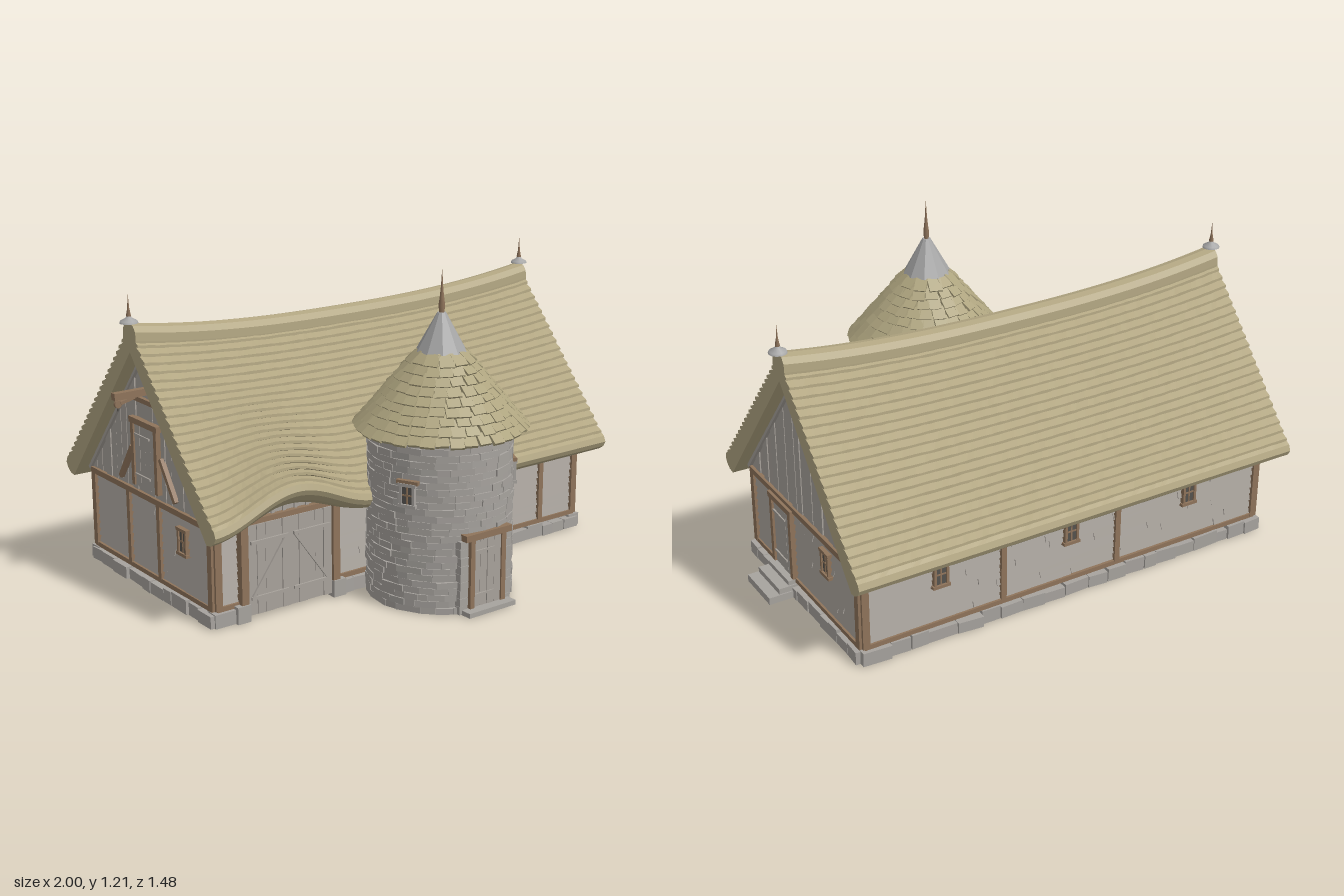
import * as THREE from 'three';
import { mergeGeometries } from 'three/addons/utils/BufferGeometryUtils.js';

const material = (name, color) => Object.assign(new THREE.MeshStandardMaterial({ color }), { name });

export function createModel() {
  const thatch = material('thatch', 0xb2a682), shingle = material('shingle', 0xaea47f);
  const plank = material('greyPlank', 0xa8a29b), stone = material('stone', 0xa7a39e);
  const timber = material('timber', 0x8f745b), metal = material('leadCap', 0xa6a6a6);
  const dark = material('darkGlass', 0x55524e);
  const root = new THREE.Group(), house = new THREE.Group();
  root.name = 'cottageWithTower';
  house.name = 'cottage';
  house.position.x = 0.006;
  root.add(house);

  let seed = 7;
  const rnd = () => (seed = (seed * 16807) % 2147483647) / 2147483647;
  const jit = a => (rnd() - 0.5) * 2 * a;
  const mesh = (parent, name, geo, mat) => {
    const m = new THREE.Mesh(geo, mat);
    m.name = name;
    parent.add(m);
    return m;
  };
  const box = (parent, name, mat, w, h, d, x, y, z, rz = 0) => {
    const m = mesh(parent, name, new THREE.BoxGeometry(w, h, d), mat);
    m.position.set(x, y, z);
    m.rotation.z = rz;
    return m;
  };

  // Skin a closed loop of points swept along x; the loop runs front, over the top, to the back
  const loft = (sections) => {
    const pos = [], n = sections[0].length, last = sections.length - 1;
    const tri = (...p) => p.forEach(v => pos.push(v.x, v.y, v.z));
    for (let i = 0; i < last; i++) for (let j = 0; j < n; j++) {
      const k = (j + 1) % n, a = sections[i], b = sections[i + 1];
      tri(a[j], b[j], b[k]);
      tri(a[j], b[k], a[k]);
    }
    for (const [s, dir] of [[sections[0], -1], [sections[last], 1]]) {
      const flat = s.map(p => new THREE.Vector2(-p.z, p.y));
      for (const [a, b, c] of THREE.ShapeUtils.triangulateShape(flat, [])) {
        const area = THREE.ShapeUtils.area([flat[a], flat[b], flat[c]]);
        if (area * dir > 0) tri(s[a], s[b], s[c]); else tri(s[a], s[c], s[b]);
      }
    }
    const g = new THREE.BufferGeometry();
    g.setAttribute('position', new THREE.Float32BufferAttribute(pos, 3));
    g.computeVertexNormals();
    return g;
  };

  // Main roof: stepped thatch, sagging ridge, eyebrow lift over the barn door
  const RIDGE_Z = -0.19, COURSES = 22, SEG = 72, END = 0.931;
  const half = [[0.485, 0.337], [0.512, 0.341], [0.535, 0.357], [0.545, 0.377], [0.536, 0.4]];
  for (let k = 0; k < COURSES; k++) {
    const f0 = 0.04 + 0.96 * k / COURSES, f1 = 0.04 + 0.96 * (k + 1) / COURSES;
    const u = 0.53 * (1 - f0), y = 0.385 + 0.62 * f0;
    half.push([u + 0.012, y], [u + 0.011, y + 0.01], [0.53 * (1 - f1), 0.385 + 0.62 * f1]);
  }
  const sag = x => -0.058 * (1 - Math.abs(x / END) ** 2.5);
  const roofPoint = (x, u, y, side) => {
    const t = Math.min(1, Math.max(0, 1 - u / 0.53));
    const e = Math.abs(x + 0.585) / 0.35;
    const brow = side > 0 && e < 1 ? 0.1 * Math.cos(e * Math.PI / 2) ** 2 * Math.max(0, 1 - t / 0.7) ** 1.5 : 0;
    return new THREE.Vector3(x, y + t * sag(x) + brow, RIDGE_Z + side * u);
  };
  const sections = [], ridgeSections = [], liningSections = [];
  const ridge = [[0.046, 0.95], [0.046, 0.975], [0.044, 1.005], [0.028, 1.026], [0, 1.032],
    [-0.028, 1.026], [-0.044, 1.005], [-0.046, 0.975], [-0.046, 0.95]];
  for (let i = 0; i <= SEG; i++) {
    const x = -END + 2 * END * i / SEG, xl = x * 0.92;
    const wob = (p, j) => { if (j > 4 && j % 3 < 2) p.y += jit(0.0012); return p; };
    const front = half.map(([u, y], j) => wob(roofPoint(x, u, y, 1), j + 1));
    const back = half.map(([u, y], j) => wob(roofPoint(x, u, y, -1), j + 1)).slice(0, -1).reverse();
    sections.push([...front, ...back, roofPoint(x, 0, 0.925, 1)]);
    ridgeSections.push(ridge.map(([u, y]) => new THREE.Vector3(x, y + sag(x), RIDGE_Z + u)));
    liningSections.push([[0.43, 0.392, 1], [0, 0.918, 1], [0.43, 0.392, -1], [0, 0.91, 1]]
      .map(([u, y, side]) => roofPoint(xl, u, y, side)));
  }
  mesh(house, 'thatchRoof', loft(sections), thatch);
  mesh(house, 'ridgeRoll', loft(ridgeSections), thatch);
  mesh(house, 'roofLining', loft(liningSections), plank);

  // Ridge finials
  const lathe = (pts, n) => new THREE.LatheGeometry(pts.map(p => new THREE.Vector2(...p)), n);
  for (const s of [-1, 1]) {
    const base = mesh(house, 'ridgeFinialCap', lathe([[0.034, 0], [0.031, 0.008], [0.012, 0.018], [0.006, 0.028]], 12), metal);
    base.position.set(s * 0.93, 1.032, RIDGE_Z);
    const tip = mesh(house, 'ridgeFinial', lathe([[0.005, 0], [0.009, 0.025], [0.004, 0.05], [0.0005, 0.1]], 8), timber);
    tip.position.set(s * 0.93, 1.035, RIDGE_Z);
  }

  // Walls: local x along the wall, local z outward
  const wall = (name, x, z, ry, L) => {
    const g = new THREE.Group();
    g.name = name;
    g.position.set(x, 0, z);
    g.rotation.y = ry;
    house.add(g);
    box(g, 'wallCore', plank, L, 0.36, 0.02, 0, 0.215, -0.014);
    const boards = [], stones = [];
    for (let r = 0; r < 10; r++) {
      for (let a = -L / 2; a < L / 2 - 0.01;) {
        let w = Math.min(0.25 + rnd() * 0.5, L / 2 - a);
        if (L / 2 - a - w < 0.12) w = L / 2 - a;
        boards.push(new THREE.BoxGeometry(w - 0.002, 0.03, 0.01).rotateX(-0.28).rotateZ(jit(0.004))
          .translate(a + w / 2, 0.087 + r * 0.029 + jit(0.001), 0.001 + jit(0.002)));
        a += w;
      }
    }
    for (let a = -L / 2 - 0.015; a < L / 2;) {
      const w = Math.min(0.05 + rnd() * 0.07, L / 2 + 0.018 - a), h = 0.04 + rnd() * 0.016;
      const inDoor = name === 'frontWall' && a + w > -0.75 && a < -0.38;
      if (!inDoor) stones.push(new THREE.BoxGeometry(w - 0.002, h, 0.056)
        .rotateY(jit(0.06)).rotateZ(jit(0.04)).translate(a + w / 2, h / 2, jit(0.005)));
      a += w;
    }
    mesh(g, 'clapboards', mergeGeometries(boards), plank);
    mesh(g, 'foundationStones', mergeGeometries(stones), stone);
    box(g, 'sillBeam', timber, L, 0.018, 0.025, 0, 0.064, 0.004);
    box(g, 'topPlate', timber, L + 0.02, 0.022, 0.028, 0, 0.365, 0.004);
    for (const s of [-1, 1]) box(g, 'cornerPost', timber, 0.028, 0.31, 0.03, s * (L / 2 - 0.006), 0.215, 0.003);
    return g;
  };
  const post = (g, x) => box(g, 'wallPost', timber, 0.022, 0.29, 0.026, x, 0.215, 0.005);
  const windowAt = (g, x, y, w, h, jambs = timber) => {
    box(g, 'windowGlass', dark, w, h, 0.009, x, y, 0.011);
    for (const s of [-1, 1]) {
      box(g, 'windowJamb', jambs, 0.01, h + 0.01, 0.024, x + s * w / 2, y, 0.01);
      box(g, 'windowRail', jambs, w + 0.02, 0.012, 0.028, x, y + s * (h / 2 + 0.004), 0.01);
    }
    box(g, 'windowMullion', timber, 0.006, h, 0.01, x, y, 0.013);
    box(g, 'windowBar', timber, w, 0.006, 0.01, x, y, 0.013);
  };
  const doorAt = (g, x, y0, y1, w, z = 0.012) => {
    const h = y1 - y0, n = 4;
    for (let i = 0; i < n; i++)
      box(g, 'doorBoard', plank, w / n - 0.001, h, 0.014, x + (i + 0.5 - n / 2) * w / n, y0 + h / 2, z + jit(0.002));
    for (const s of [-1, 1]) {
      box(g, 'doorJamb', timber, 0.02, h, 0.03, x + s * (w / 2 + 0.008), y0 + h / 2, z);
      box(g, 'doorHinge', plank, w * 0.7, 0.008, 0.006, x - w * 0.12, y0 + h * (0.5 + s * 0.32), z + 0.01);
    }
    box(g, 'doorLintel', timber, w + 0.05, 0.022, 0.034, x, y1 + 0.01, z);
  };
  const Z0 = -0.19, LX = 1.73, LZ = 0.852;
  const front = wall('frontWall', 0, 0.236, 0, LX);
  const back = wall('backWall', 0, -0.616, Math.PI, LX);
  const right = wall('rightWall', 0.865, Z0, Math.PI / 2, LZ);
  const left = wall('leftWall', -0.865, Z0, -Math.PI / 2, LZ);

  post(front, 0.675);
  windowAt(front, 0.445, 0.24, 0.075, 0.075);
  for (const s of [-1, 1]) box(front, 'shutterStub', timber, 0.028, 0.045, 0.012, 0.445 + s * 0.06, 0.238, 0.008, s * 0.1);
  for (const x of [-0.56, -0.01, 0.53]) windowAt(back, x, 0.265, 0.05, 0.085);
  for (const x of [-0.3, 0.2]) post(back, x);
  windowAt(right, 0.188, 0.278, 0.05, 0.085);
  doorAt(right, -0.161, 0.07, 0.34, 0.14);
  windowAt(left, 0.24, 0.265, 0.05, 0.085);
  for (const u of [-0.15, 0.07]) post(left, u);

  // Gables of vertical boards with rafters
  for (const g of [right, left]) {
    const boards = [], N = 22, top = u => 0.935 - 1.21 * Math.abs(u);
    for (let i = 0; i < N; i++) {
      const a = -0.44 + 0.88 * i / N, b = a + 0.88 / N - 0.0008;
      const s = new THREE.Shape([[a, 0.372], [b, 0.372], [b, top(b)], [a, top(a)]].map(p => new THREE.Vector2(...p)));
      boards.push(new THREE.ExtrudeGeometry(s, { depth: 0.012, bevelEnabled: false })
        .rotateX(jit(0.006)).translate(0, 0, -0.006 + jit(0.002)));
    }
    mesh(g, 'gableBoards', mergeGeometries(boards), plank);
    for (const s of [-1, 1]) box(g, 'gableRafter', plank, 0.72, 0.018, 0.02, s * 0.222, 0.648, 0.008, -s * 0.88);
  }

  // Loft door, braces and hoist on the left gable
  doorAt(left, 0, 0.4, 0.64, 0.15);
  for (const s of [-1, 1]) box(left, 'loftBrace', timber, 0.018, 0.17, 0.02, s * 0.15, 0.47, 0.012, s * 0.6);
  box(left, 'loftCollar', timber, 0.2, 0.018, 0.02, 0, 0.735, 0.012);
  box(house, 'hoistBeam', timber, 0.176, 0.026, 0.026, -0.918, 0.772, RIDGE_Z);
  box(house, 'hoistBrace', timber, 0.06, 0.012, 0.016, -0.95, 0.752, RIDGE_Z, 0.25);
  const pulley = mesh(house, 'hoistPulley', new THREE.CylinderGeometry(0.014, 0.014, 0.012, 12).rotateX(Math.PI / 2), timber);
  pulley.position.set(-0.988, 0.742, RIDGE_Z);
  box(house, 'hoistHook', dark, 0.006, 0.03, 0.006, -0.988, 0.732, RIDGE_Z);

  // Barn door with arched boarding above
  const arch = new THREE.Shape();
  arch.moveTo(-0.86, 0.365);
  arch.lineTo(-0.27, 0.365);
  arch.quadraticCurveTo(-0.42, 0.4, -0.48, 0.44);
  arch.quadraticCurveTo(-0.58, 0.475, -0.68, 0.44);
  arch.quadraticCurveTo(-0.75, 0.4, -0.86, 0.365);
  mesh(front, 'archBoarding', new THREE.ExtrudeGeometry(arch, { depth: 0.014, bevelEnabled: false }), plank);
  for (let i = 0; i < 5; i++) box(front, 'archStud', plank, 0.012, 0.055, 0.012, -0.68 + i * 0.05, 0.4, 0.016);
  for (let i = 0; i < 10; i++)
    box(front, 'barnDoorBoard', plank, 0.0352, 0.34, 0.014, -0.722 + i * 0.0362, 0.185, 0.02 + jit(0.002));
  for (const s of [-1, 1]) {
    const cx = -0.56 + s * 0.092;
    for (const y of [0.08, 0.29]) box(front, 'barnDoorRail', plank, 0.16, 0.012, 0.008, cx, y, 0.031);
    box(front, 'barnDoorBrace', plank, 0.25, 0.012, 0.008, cx, 0.185, 0.031, -s * 0.95);
    box(front, 'barnDoorPost', timber, 0.03, 0.32, 0.04, -0.56 + s * 0.2, 0.215, 0.016);
    box(front, 'barnPostStone', stone, 0.055, 0.065, 0.06, -0.56 + s * 0.21, 0.0325, 0.012);
  }
  box(front, 'barnDoorLintel', timber, 0.45, 0.02, 0.042, -0.56, 0.37, 0.014);

  // Recesses behind the openings and the side steps
  box(house, 'barnRecess', plank, 0.38, 0.35, 0.33, -0.565, 0.18, 0.06);
  box(house, 'sideDoorRecess', plank, 0.2, 0.27, 0.16, 0.75, 0.2, -0.03);
  box(house, 'frontWindowRecess', plank, 0.1, 0.1, 0.2, 0.445, 0.24, 0.13);
  box(house, 'leftWindowRecess', plank, 0.14, 0.11, 0.09, -0.79, 0.265, 0.05);
  box(house, 'threshold', stone, 0.08, 0.068, 0.17, 0.87, 0.034, -0.03);
  box(house, 'upperStep', stone, 0.11, 0.05, 0.18, 0.896, 0.025, -0.03);
  box(house, 'lowerStep', stone, 0.134, 0.028, 0.19, 0.927, 0.014, -0.03);

  // Round stone tower, open underneath
  const tower = new THREE.Group();
  tower.name = 'tower';
  tower.position.set(0, 0, 0.424);
  house.add(tower);
  const core = mesh(tower, 'towerCore', new THREE.CylinderGeometry(0.259, 0.266, 0.64, 48, 1, true), stone);
  core.position.y = 0.32;
  const blocks = [], rows = 26, rh = 0.645 / rows;
  for (let r = 0; r < rows; r++) {
    const start = rnd() * 6, y = (r + 0.5) * rh;
    for (let a = 0; a < Math.PI * 2 - 0.02;) {
      const w = Math.min(0.14 + rnd() * 0.24, Math.PI * 2 - a), mid = start + a + w / 2;
      const rad = 0.265 - 0.012 * y + jit(0.003);
      a += w;
      if (y < 0.28 && Math.cos(mid) > 0 && Math.abs(Math.sin(mid) * rad) < 0.07 + w * 0.11) continue;
      blocks.push(new THREE.BoxGeometry(w * 0.268, rh - 0.001 + jit(0.001), 0.026)
        .rotateZ(jit(0.04)).translate(0, y, rad - 0.005).rotateY(mid));
    }
  }
  mesh(tower, 'towerStones', mergeGeometries(blocks), stone);

  // Tower door, step and small windows
  const porch = new THREE.Group();
  porch.name = 'towerDoor';
  porch.position.set(0.002, 0, 0.259);
  tower.add(porch);
  doorAt(porch, 0, 0.02, 0.28, 0.13, 0.004);
  for (const s of [-1, 1]) for (let i = 0; i < 9; i++)
    box(porch, 'doorSurroundStone', stone, 0.04, 0.03, 0.034, s * 0.1, 0.016 + i * 0.031, -0.012 + jit(0.002));
  box(porch, 'towerLintel', timber, 0.215, 0.024, 0.04, 0, 0.292, 0.002);
  box(porch, 'towerStep', stone, 0.22, 0.018, 0.08, 0, 0.009, 0.008);
  for (const s of [-1, 1]) {
    const g = new THREE.Group();
    g.name = 'towerWindow';
    g.rotation.y = s * 1.12;
    const inner = new THREE.Group();
    inner.position.z = 0.262;
    g.add(inner);
    tower.add(g);
    windowAt(inner, 0, 0.445, 0.05, 0.07, stone);
    box(inner, 'windowLintel', timber, 0.085, 0.014, 0.03, 0, 0.494, 0.006);
  }

  // Conical shingle roof
  const cone = mesh(tower, 'towerRoofCore', new THREE.CylinderGeometry(0.075, 0.293, 0.27, 32), shingle);
  cone.position.y = 0.778;
  const tiles = [], C = 9;
  for (let k = 0; k < C; k++) {
    const f = (k + 0.5) / C, r = 0.314 - 0.219 * f, y = 0.644 + 0.268 * f;
    const n = Math.max(12, Math.round(Math.PI * 2 * r / 0.05));
    for (let i = 0; i < n; i++) {
      const w = Math.PI * 2 * r / n * (0.98 + jit(0.07));
      tiles.push(new THREE.BoxGeometry(w, 0.055 + jit(0.009), 0.013).rotateZ(jit(0.06))
        .rotateX(-0.84 + jit(0.06)).translate(0, y, r - 0.005).rotateY((i + (k % 2) / 2 + jit(0.12)) / n * Math.PI * 2));
    }
  }
  mesh(tower, 'towerShingles', mergeGeometries(tiles), shingle);
  const cap = new THREE.CylinderGeometry(0.016, 0.094, 0.14, 10).toNonIndexed();
  cap.computeVertexNormals();
  mesh(tower, 'leadCap', cap, metal).position.y = 0.985;
  mesh(tower, 'spire', lathe([[0.009, 1.05], [0.012, 1.08], [0.008, 1.11], [0.004, 1.15], [0.0005, 1.21]], 8), timber);

  return root;
}
